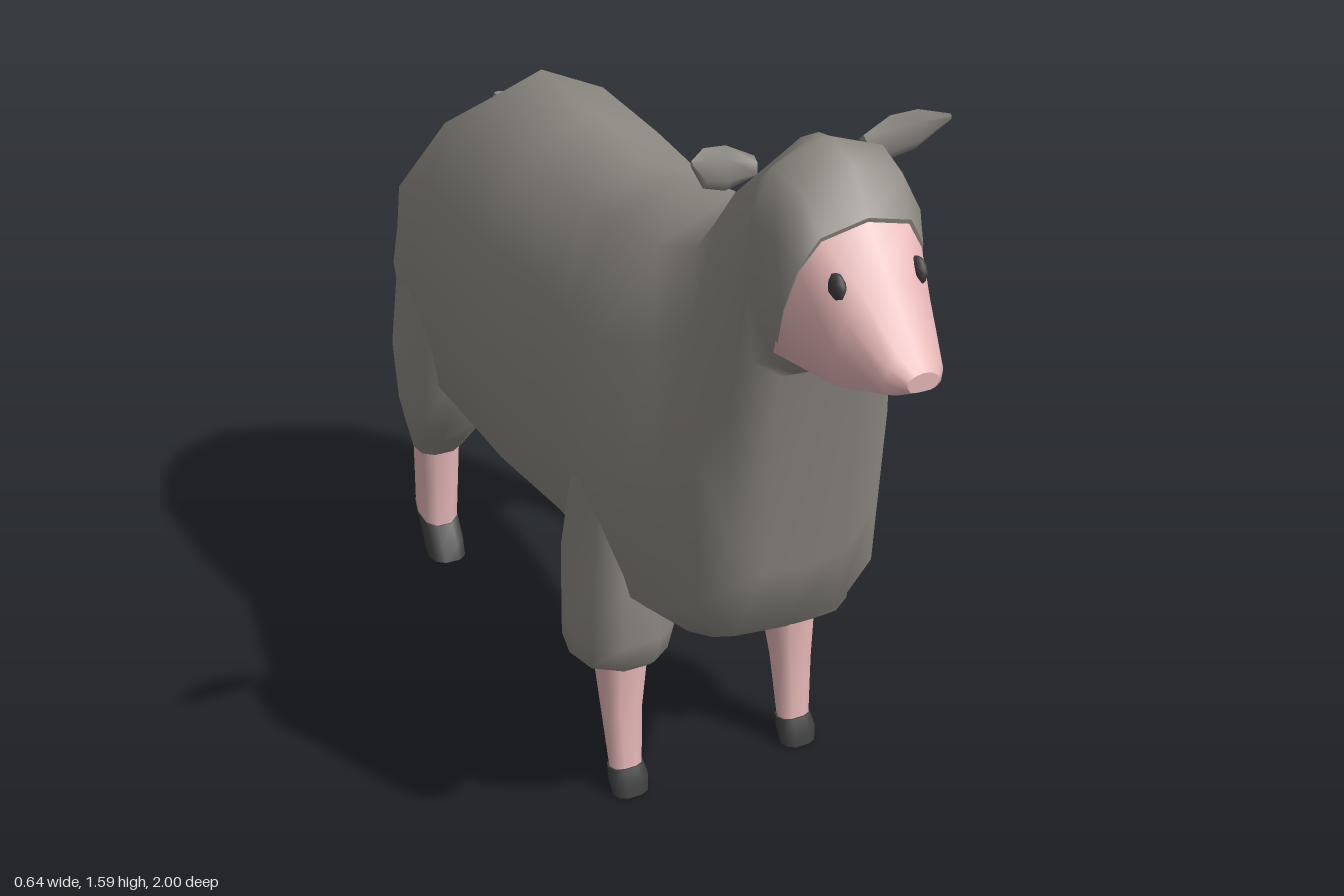
import * as THREE from 'three';

const mat = (name, color) => {
  const m = new THREE.MeshStandardMaterial({ color });
  m.name = name;
  return m;
};

// Skin a list of cross-sections (closed loops of points), with crisp end caps.
function loft(rings, mirror = false) {
  const pos = [], idx = [];
  const n = rings[0].length;
  if (mirror) rings = rings.map(r => r.map(([x, y, z]) => [-x, y, z]).reverse());
  rings.forEach(r => r.forEach(p => pos.push(...p)));
  for (let i = 0; i < rings.length - 1; i++) {
    for (let j = 0; j < n; j++) {
      const k = (j + 1) % n;
      const a = i * n + j, b = i * n + k, c = a + n, d = b + n;
      idx.push(a, b, d, a, d, c);
    }
  }
  [[rings[0], true], [rings[rings.length - 1], false]].forEach(([r, start]) => {
    const base = pos.length / 3;
    r.forEach(p => pos.push(...p));
    pos.push(...[0, 1, 2].map(k => r.reduce((s, p) => s + p[k], 0) / n));
    for (let j = 0; j < n; j++) {
      const k = (j + 1) % n;
      if (start) idx.push(base + n, base + k, base + j);
      else idx.push(base + n, base + j, base + k);
    }
  });
  const g = new THREE.BufferGeometry();
  g.setAttribute('position', new THREE.Float32BufferAttribute(pos, 3));
  g.setIndex(idx);
  g.computeVertexNormals();
  return g;
}

// Upright section: z, bottom, top, four half widths from low to high, forward lean.
function slice([z, yb, yt, wb, wm, wu, wt, lean = 0]) {
  const h = yt - yb;
  const at = (x, f) => [x, yb + f * h, z + lean * f];
  const right = [[wb * 0.6, 0.01], [wb, 0.1], [wm, 0.42], [wu, 0.72], [wt, 0.92]];
  return [
    at(0, 0), ...right.map(([x, f]) => at(x, f)),
    at(0, 1), ...right.slice().reverse().map(([x, f]) => at(-x, f)),
  ];
}

// Level, slightly boxy section for legs and tail; tilt raises its front edge.
function level([x, y, z, rx, rz, tilt = 0]) {
  const sq = v => Math.sign(v) * Math.pow(Math.abs(v), 0.8);
  return Array.from({ length: 10 }, (_, j) => {
    const a = (j / 10) * Math.PI * 2, s = sq(Math.sin(a));
    return [x + rx * sq(Math.cos(a)), y + tilt * s, z + rz * s];
  });
}

// Sideways section for the ears.
function side([x, y, z, ry, rz]) {
  return Array.from({ length: 6 }, (_, j) => {
    const a = (j / 6) * Math.PI * 2;
    return [x, y + ry * Math.cos(a), z + rz * Math.sin(a)];
  });
}

export function createModel() {
  const group = new THREE.Group();
  const wool = mat('wool', 0x8e8a83);
  const skin = mat('pinkSkin', 0xe8b8b8);
  const dark = mat('darkHoof', 0x3f3f40);

  const add = (name, geometry, material) => {
    const m = new THREE.Mesh(geometry, material);
    m.name = name;
    group.add(m);
    return m;
  };
  const pair = (name, rings, material) => {
    add('left' + name, loft(rings), material);
    add('right' + name, loft(rings, true), material);
  };

  // Body, neck and woolly head, from rump to brow
  add('body', loft([
    [-0.95, 0.72, 0.98, 0.06, 0.09, 0.08, 0.04],
    [-0.92, 0.60, 1.06, 0.17, 0.20, 0.17, 0.08],
    [-0.87, 0.54, 1.14, 0.24, 0.27, 0.24, 0.12],
    [-0.80, 0.52, 1.20, 0.27, 0.29, 0.27, 0.15],
    [-0.58, 0.50, 1.32, 0.27, 0.31, 0.28, 0.15],
    [-0.30, 0.45, 1.31, 0.24, 0.30, 0.27, 0.15],
    [-0.05, 0.44, 1.295, 0.21, 0.26, 0.23, 0.14],
    [0.10, 0.45, 1.31, 0.22, 0.29, 0.25, 0.15],
    [0.30, 0.44, 1.34, 0.24, 0.31, 0.27, 0.15],
    [0.42, 0.46, 1.38, 0.23, 0.28, 0.22, 0.13],
    [0.50, 0.49, 1.47, 0.21, 0.25, 0.18, 0.13],
    [0.57, 0.53, 1.555, 0.19, 0.21, 0.16, 0.13],
    [0.63, 0.70, 1.585, 0.15, 0.17, 0.155, 0.12],
    [0.665, 1.14, 1.59, 0.14, 0.155, 0.15, 0.11],
    [0.72, 1.17, 1.565, 0.135, 0.15, 0.145, 0.10, 0.03],
    [0.74, 1.21, 1.49, 0.14, 0.14, 0.125, 0.09, 0.065],
  ].map(slice)), wool);

  // Bare face tapering to the nose
  add('face', loft([
    [0.735, 1.212, 1.485, 0.142, 0.14, 0.124, 0.088, 0.065],
    [0.88, 1.21, 1.40, 0.10, 0.10, 0.085, 0.05],
    [0.97, 1.235, 1.31, 0.055, 0.058, 0.05, 0.03],
    [1.0, 1.25, 1.285, 0.025, 0.032, 0.028, 0.015],
  ].map(slice)), skin);

  // Eyes
  for (const s of [1, -1]) {
    const eye = add(s > 0 ? 'leftEye' : 'rightEye', new THREE.SphereGeometry(1, 8, 6), dark);
    eye.scale.set(0.015, 0.028, 0.025);
    eye.position.set(s * 0.08, 1.39, 0.84);
  }

  // Ears
  pair('Ear', [
    [0.11, 1.53, 0.60, 0.02, 0.015],
    [0.165, 1.535, 0.597, 0.042, 0.018],
    [0.215, 1.548, 0.61, 0.037, 0.018],
    [0.258, 1.577, 0.65, 0.006, 0.004],
  ].map(side), wool);

  // Front legs
  pair('FrontUpperLeg', [
    [0.20, 0.80, 0.24, 0.09, 0.09],
    [0.21, 0.57, 0.235, 0.105, 0.122],
    [0.21, 0.42, 0.237, 0.108, 0.122],
    [0.215, 0.36, 0.232, 0.103, 0.113],
    [0.20, 0.33, 0.225, 0.075, 0.085],
  ].map(level), wool);
  pair('FrontShin', [
    [0.20, 0.35, 0.225, 0.06, 0.055],
    [0.205, 0.20, 0.24, 0.045, 0.037],
    [0.205, 0.06, 0.258, 0.036, 0.028],
  ].map(level), skin);
  pair('FrontHoof', [
    [0.205, 0.06, 0.258, 0.04, 0.031, 0.004],
    [0.205, 0.035, 0.272, 0.045, 0.032],
    [0.205, 0.003, 0.28, 0.04, 0.03],
  ].map(level), dark);

  // Hind legs
  pair('HindUpperLeg', [
    [0.19, 0.85, -0.70, 0.10, 0.18],
    [0.205, 0.60, -0.73, 0.108, 0.165],
    [0.205, 0.45, -0.757, 0.097, 0.128],
    [0.20, 0.37, -0.797, 0.08, 0.09],
    [0.195, 0.30, -0.845, 0.06, 0.056, -0.008],
  ].map(level), wool);
  pair('HindShin', [
    [0.195, 0.32, -0.843, 0.056, 0.053],
    [0.20, 0.105, -0.855, 0.048, 0.055, -0.025],
  ].map(level), skin);
  pair('HindHoof', [
    [0.20, 0.107, -0.855, 0.05, 0.057, -0.025],
    [0.20, 0.05, -0.822, 0.05, 0.055, -0.015],
    [0.20, 0.002, -0.805, 0.046, 0.055],
  ].map(level), dark);

  // Tail with dark tip
  add('tail', loft([
    [0, 1.185, -0.83, 0.012, 0.012],
    [0, 1.05, -0.91, 0.018, 0.02],
    [0, 0.95, -0.953, 0.019, 0.018],
    [0, 0.82, -0.978, 0.02, 0.02],
  ].map(level)), wool);
  add('tailTip', loft([
    [0, 0.825, -0.978, 0.021, 0.021],
    [0, 0.78, -0.978, 0.021, 0.021],
    [0, 0.75, -0.976, 0.012, 0.012],
  ].map(level)), dark);

  return group;
}
